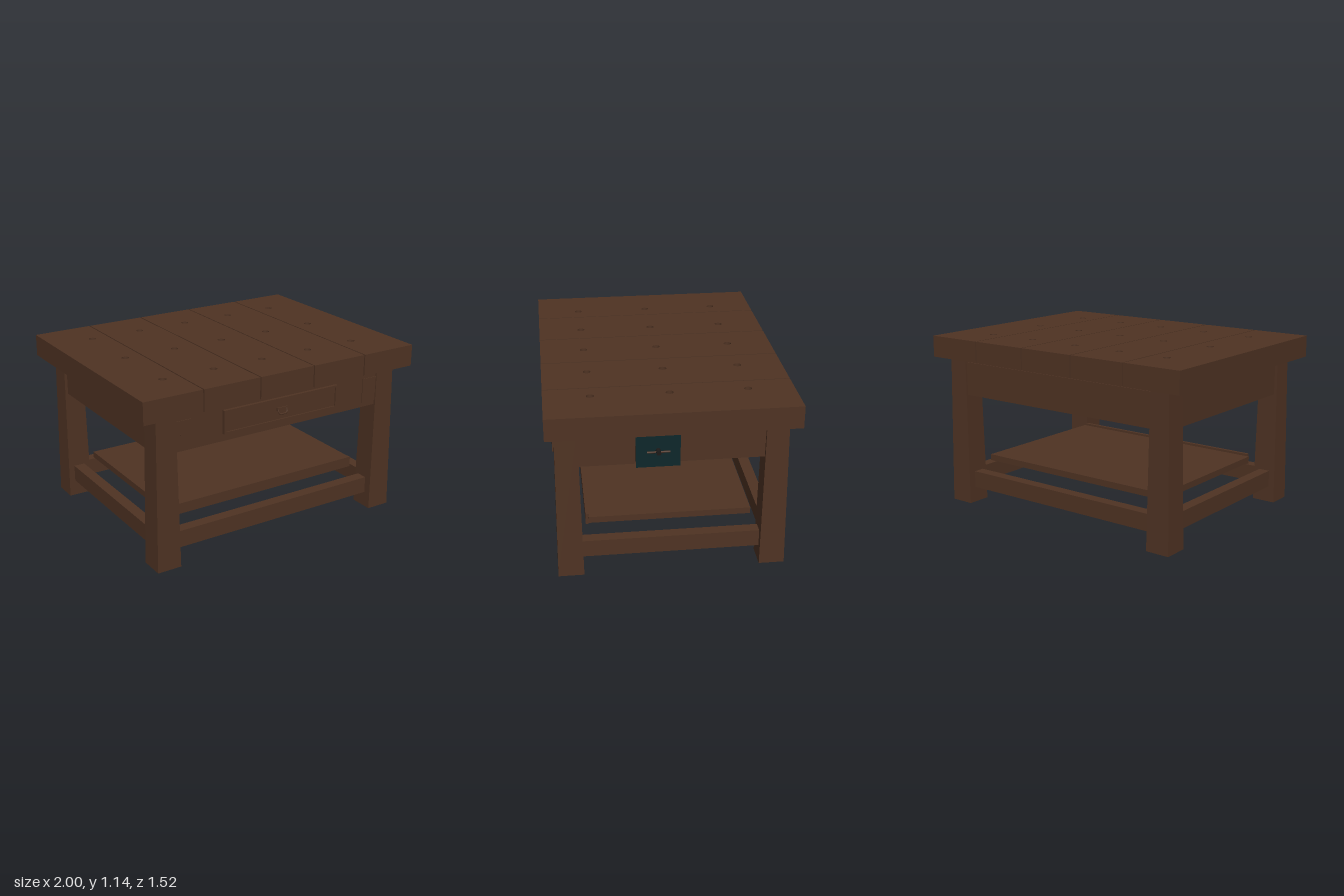
import * as THREE from 'three';

export function createModel() {
  const root = new THREE.Group();
  root.name = 'workbench';
  const mat = (name, color, side = THREE.FrontSide) => {
    const m = new THREE.MeshStandardMaterial({ color, side });
    m.name = name;
    return m;
  };
  const wood = mat('brown wood', 0x4f3323);
  const teal = mat('dark teal metal', 0x0d272b);
  const iron = mat('dark iron', 0x1c1a19);

  const add = (name, geo, material = wood) => {
    const mesh = new THREE.Mesh(geo, material);
    mesh.name = name;
    root.add(mesh);
    return mesh;
  };
  // Box given by its limits on each axis
  const block = (name, x0, x1, y0, y1, z0, z1, material = wood) => {
    const geo = new THREE.BoxGeometry(x1 - x0, y1 - y0, z1 - z0);
    geo.translate((x0 + x1) / 2, (y0 + y1) / 2, (z0 + z1) / 2);
    return add(name, geo, material);
  };
  const rectangle = (Type, x0, x1, y0, y1) => {
    const p = new Type();
    p.moveTo(x0, y0);
    p.lineTo(x1, y0);
    p.lineTo(x1, y1);
    p.lineTo(x0, y1);
    p.closePath();
    return p;
  };

  // Top planks, drilled with through holes
  const seams = [-1, -0.6, -0.2, 0.2, 0.6, 1];
  const holeX = [-0.715, -0.358, 0, 0.358, 0.715];
  for (let i = 0; i < 5; i++) {
    const x0 = seams[i] + (i > 0 ? 0.004 : 0);
    const x1 = seams[i + 1] - (i < 4 ? 0.004 : 0);
    const shape = rectangle(THREE.Shape, x0, x1, -0.762, 0.762);
    for (const z of [-0.478, 0, 0.478]) {
      const hole = new THREE.Path();
      hole.absarc(holeX[i], z, 0.024, 0, Math.PI * 2, true);
      shape.holes.push(hole);
    }
    const geo = new THREE.ExtrudeGeometry(shape, { depth: 0.143, bevelEnabled: false, curveSegments: 16 });
    geo.rotateX(-Math.PI / 2);
    geo.translate(0, 1.002, 0);
    add('topPlank', geo);
  }

  // Four legs, tapering towards the top
  for (const sx of [-1, 1]) {
    for (const sz of [-1, 1]) {
      const geo = new THREE.BoxGeometry(0.162, 1.002, 0.162);
      const pos = geo.attributes.position;
      for (let i = 0; i < pos.count; i++) {
        if (pos.getY(i) > 0) {
          pos.setX(i, pos.getX(i) * 0.82);
          pos.setZ(i, pos.getZ(i) * 0.85);
        }
      }
      geo.computeVertexNormals();
      geo.translate(sx * 0.825, 0.501, sz * 0.637);
      add('leg', geo);
    }
  }

  // Aprons under the top and stretchers near the floor
  for (const s of [-1, 1]) {
    const span = (a, b) => (s > 0 ? [a, b] : [-b, -a]);
    block('longApron', -0.762, 0.762, 0.758, 0.982, ...span(0.6, 0.695));
    block('sideApron', ...span(0.785, 0.875), 0.758, 0.982, -0.572, 0.572);
    block('longStretcher', -0.737, 0.737, 0.108, 0.22, ...span(0.6, 0.675));
    block('sideStretcher', ...span(0.788, 0.863), 0.108, 0.22, -0.558, 0.558);
  }

  // Lower shelf with a front lip
  block('shelf', -0.728, 0.728, 0.267, 0.309, -0.524, 0.51);
  block('shelfLip', -0.715, 0.715, 0.253, 0.324, 0.508, 0.53);

  // Drawer: box, front panel and raised border
  block('drawerBox', -0.4, 0.4, 0.815, 0.95, 0.36, 0.61);
  block('drawerFront', -0.428, 0.428, 0.806, 0.96, 0.69, 0.706);
  const border = rectangle(THREE.Shape, -0.428, 0.428, 0.806, 0.96);
  border.holes.push(rectangle(THREE.Path, -0.414, 0.414, 0.82, 0.946));
  const borderGeo = new THREE.ExtrudeGeometry(border, { depth: 0.01, bevelEnabled: false });
  borderGeo.translate(0, 0, 0.705);
  add('drawerBorder', borderGeo);

  // Drawer pull
  block('pullPlate', -0.04, 0.04, 0.877, 0.897, 0.705, 0.713);
  const bail = new THREE.CatmullRomCurve3([
    [-0.033, 0.888, 0.712], [-0.03, 0.866, 0.72], [-0.02, 0.86, 0.723],
    [0.02, 0.86, 0.723], [0.03, 0.866, 0.72], [0.033, 0.888, 0.712],
  ].map((p) => new THREE.Vector3(...p)));
  add('drawerPull', new THREE.TubeGeometry(bail, 24, 0.005, 8));

  // Joint plates with pegs at both ends of the front apron
  for (const s of [-1, 1]) {
    const x = s * 0.704;
    block('jointPlate', x - 0.055, x + 0.055, 0.787, 0.953, 0.694, 0.7);
    for (const dx of [-0.02, 0.02]) {
      const peg = new THREE.CylinderGeometry(0.004, 0.004, 0.004, 8);
      peg.rotateX(Math.PI / 2);
      peg.translate(x + dx, 0.868, 0.701);
      add('jointPeg', peg);
    }
  }

  // Side vise: wooden jaw, metal plate, screw and bar handle
  block('viseJaw', 0.927, 0.951, 0.79, 0.985, -0.02, 0.215);
  block('visePlate', 0.95, 0.96, 0.777, 1.0, -0.036, 0.23, teal);
  const screw = new THREE.CylinderGeometry(0.015, 0.015, 0.042, 16);
  screw.rotateZ(Math.PI / 2);
  screw.translate(0.979, 0.887, 0.098);
  add('viseScrew', screw, iron);
  const bar = new THREE.CylinderGeometry(0.006, 0.006, 0.138, 10);
  bar.rotateX(Math.PI / 2);
  bar.translate(0.982, 0.887, 0.098);
  add('viseHandle', bar);

  return root;
}
